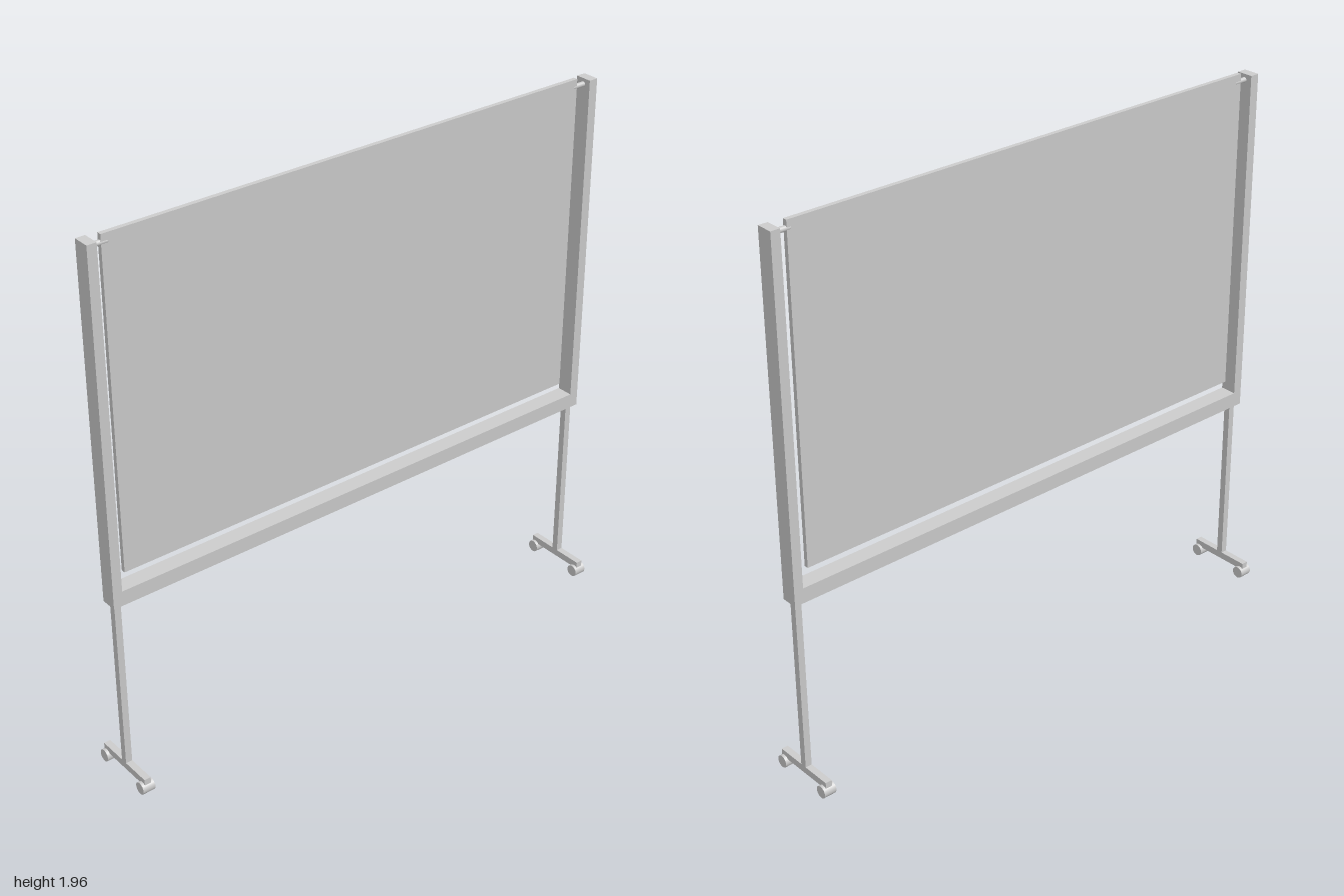
import * as THREE from 'three';

const material = new THREE.MeshStandardMaterial({ color: 0xcccccc });

export function createModel() {
  const root = new THREE.Group();
  root.name = 'rollingBoard';

  const add = (name, geometry, x, y, z) => {
    const mesh = new THREE.Mesh(geometry, material);
    mesh.name = name;
    mesh.position.set(x, y, z);
    root.add(mesh);
  };
  const box = (name, w, h, d, x, y, z = 0) =>
    add(name, new THREE.BoxGeometry(w, h, d), x, y, z);
  // cylinder lying along x
  const rod = (name, radius, length, x, y, z, sides) =>
    add(name, new THREE.CylinderGeometry(radius, radius, length, sides).rotateZ(Math.PI / 2), x, y, z);

  // Writing panel, hung between the posts
  box('panel', 1.868, 1.163, 0.016, -0.005, 1.383);

  // U-shaped frame
  box('bottomRail', 1.932, 0.054, 0.06, 0, 0.726);
  for (const side of [-1, 1]) {
    const name = side > 0 ? 'left' : 'right';
    box(name + 'Post', 0.034, 1.257, 0.06, side * 0.983, 1.3275);

    // Pivot pin from post to panel
    rod(name + 'Pivot', 0.009, 0.06, side * 0.945, 1.936, 0, 16);

    // Leg and foot
    const x = side * 0.976;
    box(name + 'Leg', 0.024, 0.66, 0.024, x, 0.37);
    box(name + 'Foot', 0.024, 0.026, 0.24, x, 0.048);

    // Castors at both ends of the foot
    for (const end of [-1, 1]) {
      rod(name + (end > 0 ? 'Front' : 'Back') + 'Castor', 0.022, 0.046, x, 0.022, end * 0.106, 24);
    }
  }
  return root;
}
